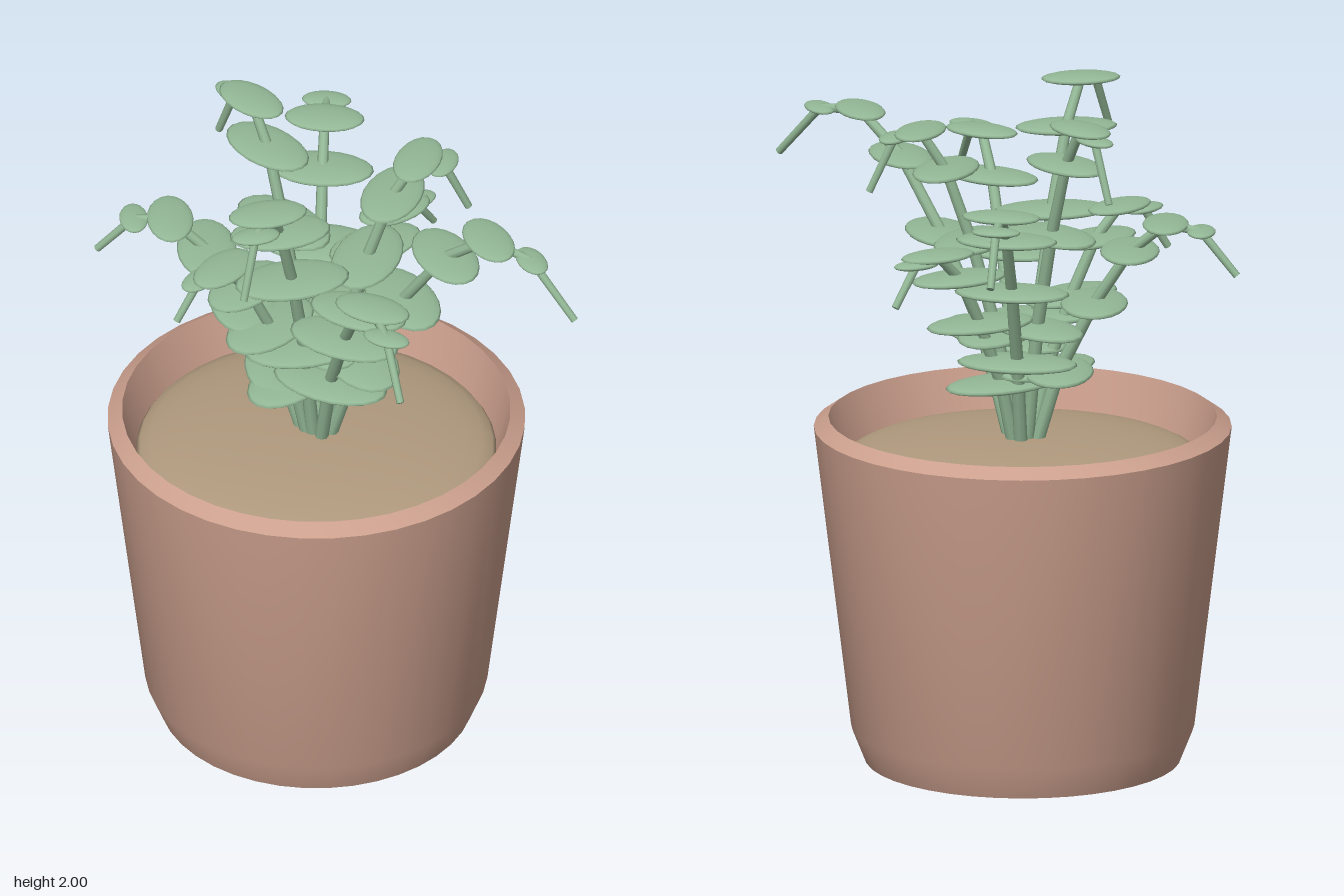
import * as THREE from 'three';
import { toCreasedNormals } from 'three/addons/utils/BufferGeometryUtils.js';

const clay = new THREE.MeshStandardMaterial({ color: 0xcb9f8d });
const earth = new THREE.MeshStandardMaterial({ color: 0xb09a7e });
const green = new THREE.MeshStandardMaterial({ color: 0x93b896 });

const ROOT_Y = 0.82; // stems start below the soil surface

// Tip of each stem relative to the pot axis: x, height, z
const TIPS = [
  [-0.495, 1.61, -0.47], [-0.055, 1.46, -0.5], [0.245, 1.73, -0.38],
  [0.855, 1.70, -0.27], [0.745, 1.61, 0.31], [0.245, 1.79, 0.49],
  [-0.105, 1.51, 0.45], [-0.525, 1.52, 0.40], [-0.465, 1.79, -0.02],
];
// Arching rise of a stem at each joint, as a share of its tip height
const RISE = [0, 0.52, 0.83, 1.07, 1.2, 1.18, 1];
// Half length of the leaf at each joint (none at root and tip)
const LEAF = [0, 0.18, 0.172, 0.152, 0.118, 0.073, 0];

function mesh(name, geometry, material) {
  const m = new THREE.Mesh(geometry, material);
  m.name = name;
  return m;
}

// Tapered rod between two points
function rod(a, b, ra, rb) {
  const dir = b.clone().sub(a);
  const m = mesh('stemSegment', new THREE.CylinderGeometry(rb, ra, dir.length(), 8), green);
  m.position.copy(a).add(b).multiplyScalar(0.5);
  m.quaternion.setFromUnitVectors(new THREE.Vector3(0, 1, 0), dir.normalize());
  return m;
}

function createStem([x, y, z], leafGeometry) {
  const stem = new THREE.Group();
  stem.name = 'stem';
  const joints = RISE.map((f, k) =>
    new THREE.Vector3(x * k / 6, ROOT_Y + (y - ROOT_Y) * f, z * k / 6));
  const radius = (k) => 0.021 - 0.0016 * k;
  for (let k = 0; k < 6; k++) {
    stem.add(rod(joints[k], joints[k + 1], radius(k), radius(k + 1)));
  }
  // Flat oval leaves at the joints
  for (let k = 1; k < 6; k++) {
    const leaf = mesh('leaf', leafGeometry, green);
    leaf.position.copy(joints[k]);
    leaf.rotation.y = Math.atan2(z, x);
    leaf.scale.set(LEAF[k], 0.008 + LEAF[k] * 0.06, LEAF[k] * 0.58);
    stem.add(leaf);
  }
  return stem;
}

export function createModel() {
  const model = new THREE.Group();
  model.name = 'pottedPlant';
  model.position.x = -0.125;

  // Tapered pot with bevelled foot and rim, and an inner wall
  const profile = [
    [0, 0], [0.465, 0], [0.505, 0.1], [0.615, 1.01],
    [0.572, 1.04], [0.525, 0.88],
  ].map(([r, h]) => new THREE.Vector2(r, h));
  model.add(mesh('pot', toCreasedNormals(new THREE.LatheGeometry(profile, 40), 0.4), clay));

  // Gently domed soil
  const soil = mesh('soil',
    new THREE.SphereGeometry(1, 40, 8, 0, Math.PI * 2, 0, Math.PI / 2), earth);
  soil.scale.set(0.53, 0.08, 0.53);
  soil.position.y = 0.9;
  model.add(soil);

  // Stems fanning out from the middle
  const leafGeometry = new THREE.SphereGeometry(1, 20, 10);
  for (const tip of TIPS) model.add(createStem(tip, leafGeometry));

  const root = new THREE.Group();
  root.add(model);
  return root;
}
